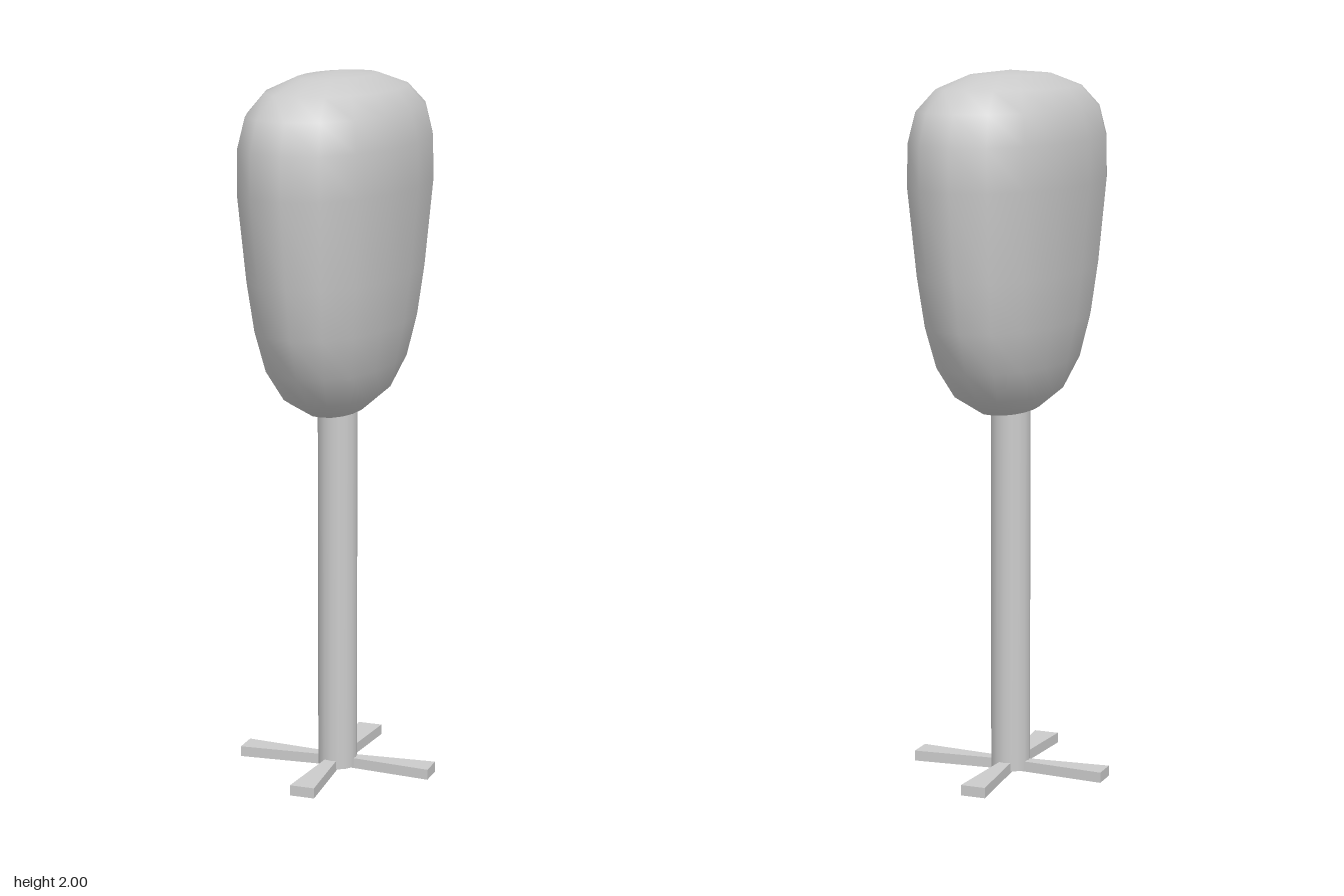
import * as THREE from 'three';
import { mergeVertices } from 'three/addons/utils/BufferGeometryUtils.js';

// Height, half width (x) and half depth (z) of each ring of the head, top to bottom
const RINGS = [
  [2.0, 0, 0], [1.989, 0.095, 0.18], [1.953, 0.17, 0.32], [1.895, 0.213, 0.406],
  [1.81, 0.232, 0.437], [1.69, 0.234, 0.437], [1.45, 0.213, 0.402], [1.31, 0.195, 0.371],
  [1.195, 0.17, 0.323], [1.107, 0.13, 0.243], [1.055, 0.07, 0.135], [1.04, 0, 0],
];
const SIDES = 16;

// Rounded, tapering head: a sphere whose rows are moved onto the rings
function headGeometry() {
  const sphere = new THREE.SphereGeometry(1, SIDES, RINGS.length - 1);
  const pos = sphere.attributes.position;
  const bulge = (v) => Math.sign(v) * Math.pow(Math.abs(v), 0.91);
  for (let i = 0; i < pos.count; i++) {
    const [y, w, d] = RINGS[Math.floor(i / (SIDES + 1))];
    const a = ((i % (SIDES + 1)) / SIDES) * Math.PI * 2;
    pos.setXYZ(i, -bulge(Math.cos(a)) * w, y, bulge(Math.sin(a)) * d);
  }
  sphere.deleteAttribute('uv');
  sphere.deleteAttribute('normal');
  const geometry = mergeVertices(sphere);
  geometry.computeVertexNormals();
  return geometry;
}

// Flat foot that widens towards its outer end, pointing along +x
function footGeometry() {
  const shape = new THREE.Shape([
    new THREE.Vector2(0, -0.013), new THREE.Vector2(0.287, -0.036),
    new THREE.Vector2(0.287, 0.036), new THREE.Vector2(0, 0.013),
  ]);
  const geometry = new THREE.ExtrudeGeometry(shape, { depth: 0.03, bevelEnabled: false });
  return geometry.rotateX(-Math.PI / 2);
}

export function createModel() {
  const model = new THREE.Group();
  model.name = 'headOnStand';
  const material = new THREE.MeshStandardMaterial({ color: 0xcccccc });
  const add = (parent, name, geometry) => {
    const mesh = new THREE.Mesh(geometry, material);
    mesh.name = name;
    parent.add(mesh);
    return mesh;
  };

  add(model, 'head', headGeometry());

  // Stand: post on four crossed feet
  const stand = new THREE.Group();
  stand.name = 'stand';
  stand.position.set(0, 0, 0.006);
  model.add(stand);
  const post = add(stand, 'post', new THREE.CylinderGeometry(0.056, 0.056, 1.1, 16));
  post.position.set(0.003, 0.555, 0.005);
  const foot = footGeometry();
  for (let i = 0; i < 4; i++) {
    add(stand, `foot${i + 1}`, foot).rotation.y = (i * Math.PI) / 2;
  }
  return model;
}
